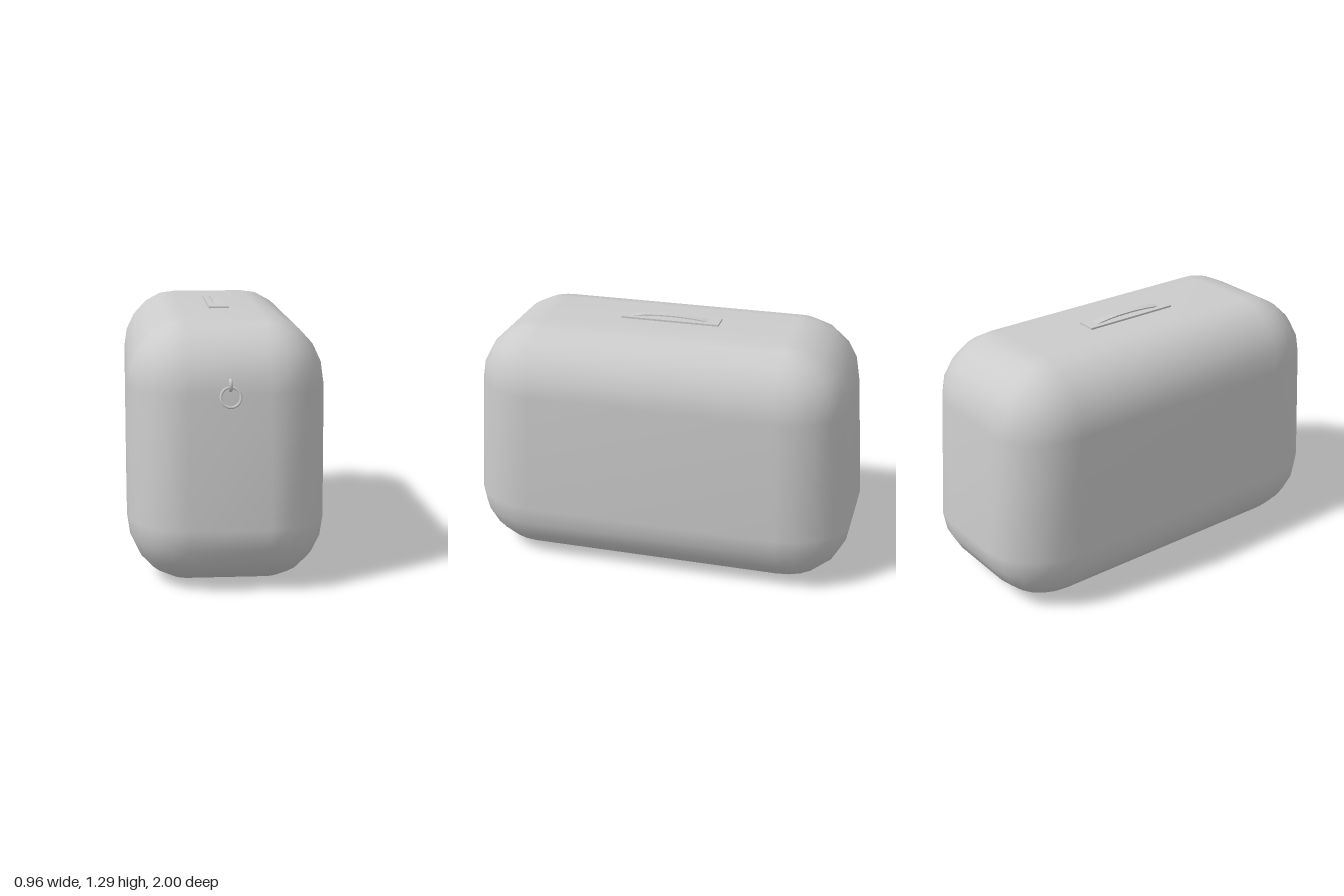
import * as THREE from 'three';
import { mergeVertices } from 'three/addons/utils/BufferGeometryUtils.js';

const material = new THREE.MeshStandardMaterial({ color: 0xcccccc });
const HALF = [0.478, 0.6325, 1];        // half sizes of the case
const RADIUS = [0.288, 0.315, 0.345];   // corner radius along each axis
const STEPS = 5;                        // facets per quarter turn

function add(parent, name, geometry, x = 0, y = 0, z = 0) {
  const mesh = new THREE.Mesh(geometry, material);
  mesh.name = name;
  mesh.position.set(x, y, z);
  parent.add(mesh);
  return mesh;
}

// Rounded box whose ends lean inward towards the top
function caseGeometry() {
  const n = STEPS + 1, around = 4 * n;
  const positions = [], index = [];
  const core = HALF.map((h, i) => h - RADIUS[i]);
  for (let r = 0; r < 2 * n; r++) {
    const upper = r >= n;
    const lat = ((upper ? r - n : r - STEPS) / STEPS) * Math.PI / 2;
    const y = HALF[1] + (upper ? 1 : -1) * core[1] + RADIUS[1] * Math.sin(lat);
    const taper = 1 - 0.043 * THREE.MathUtils.clamp((y - 0.32) / 0.63, 0, 1);
    const ring = Math.abs(Math.cos(lat)) < 1e-9 ? 0 : Math.cos(lat);
    for (let q = 0; q < 4; q++) {
      const sx = q === 0 || q === 3 ? 1 : -1, sz = q < 2 ? 1 : -1;
      for (let i = 0; i < n; i++) {
        const a = (q + i / STEPS) * Math.PI / 2;
        positions.push(sx * core[0] + RADIUS[0] * ring * Math.cos(a), y,
          (sz * core[2] + RADIUS[2] * ring * Math.sin(a)) * taper);
      }
    }
  }
  for (let r = 0; r < 2 * n - 1; r++) {
    for (let i = 0; i < around; i++) {
      const a = r * around + i, b = r * around + (i + 1) % around;
      index.push(a, a + around, b, b, a + around, b + around);
    }
  }
  // flat bottom and top
  const t = (2 * n - 1) * around;
  index.push(0, n, 2 * n, 0, 2 * n, 3 * n);
  index.push(t, t + 2 * n, t + n, t, t + 3 * n, t + 2 * n);
  const geometry = new THREE.BufferGeometry();
  geometry.setAttribute('position', new THREE.Float32BufferAttribute(positions, 3));
  geometry.setIndex(index);
  const merged = mergeVertices(geometry, 1e-5);
  merged.computeVertexNormals();
  return merged;
}

// Thin arched strap running along z
function strapGeometry() {
  const shape = new THREE.Shape();
  shape.moveTo(-0.2, 0);
  shape.bezierCurveTo(-0.1, 0.022, 0.1, 0.022, 0.2, 0);
  shape.lineTo(0.19, -0.003);
  shape.bezierCurveTo(0.1, 0.014, -0.1, 0.014, -0.19, -0.003);
  shape.closePath();
  const geometry = new THREE.ExtrudeGeometry(shape, { depth: 0.044, bevelEnabled: false, curveSegments: 14 });
  return geometry.translate(0, 0, -0.022).rotateY(Math.PI / 2);
}

export function createModel() {
  const model = new THREE.Group();
  model.name = 'roundedCase';
  add(model, 'caseBody', caseGeometry());

  // Carrying handle on top
  const handle = new THREE.Group();
  handle.name = 'topHandle';
  model.add(handle);
  add(handle, 'handlePlate', new THREE.BoxGeometry(0.1, 0.014, 0.51), 0, 1.267, 0);
  add(handle, 'handleStrap', strapGeometry(), 0, 1.273, 0);

  // Hanging ring pull on the front
  const pull = new THREE.Group();
  pull.name = 'frontPull';
  model.add(pull);
  const hook = new THREE.TorusGeometry(0.023, 0.005, 8, 20).rotateY(Math.PI / 2).scale(1.8, 1.1, 0.9);
  add(pull, 'pullHook', hook, 0, 0.995, 0.961);
  const ring = add(pull, 'pullRing', new THREE.TorusGeometry(0.046, 0.006, 8, 32), 0, 0.942, 0.982);
  ring.rotation.x = -0.25;
  return model;
}
